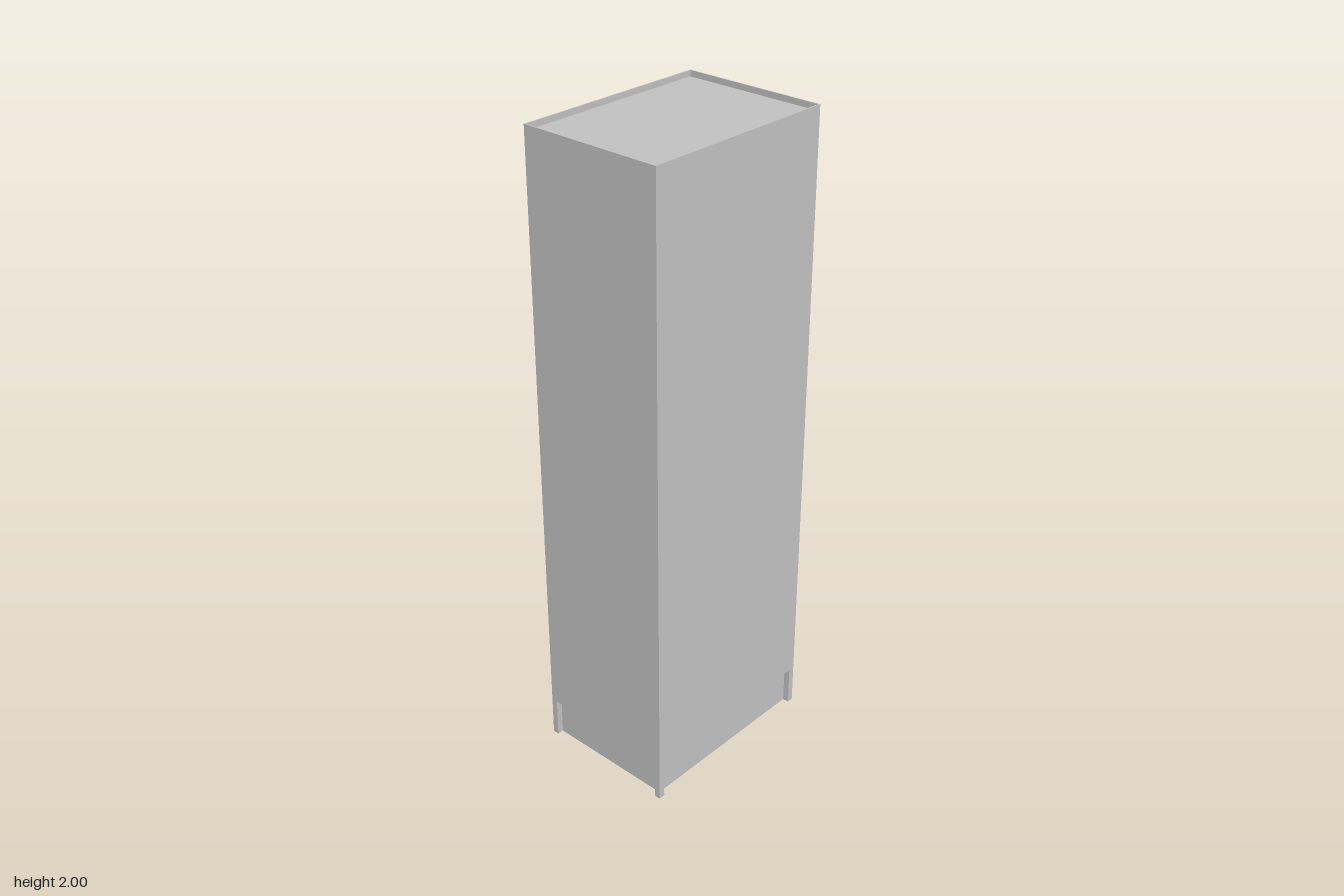
import * as THREE from 'three';

const W = 0.46, D = 0.636, H = 2;      // overall size
const T = 0.004;                       // sheet thickness
const PLINTH = 0.13, INSET = 0.02;     // plinth height and setback

// Rectangular tube standing on y = y0
function tube(w, d, wall, y0, h) {
  const rect = (S, a, b) => {
    const p = new S();
    p.moveTo(-a, -b);
    p.lineTo(a, -b);
    p.lineTo(a, b);
    p.lineTo(-a, b);
    p.closePath();
    return p;
  };
  const shape = rect(THREE.Shape, w / 2, d / 2);
  shape.holes.push(rect(THREE.Path, w / 2 - wall, d / 2 - wall));
  const g = new THREE.ExtrudeGeometry(shape, { depth: h, bevelEnabled: false });
  g.rotateX(-Math.PI / 2);
  g.translate(0, y0, 0);
  return g;
}

export function createModel() {
  const group = new THREE.Group();
  group.name = 'cabinet';
  const grey = new THREE.MeshStandardMaterial({ color: 0xc0c0c0 });
  grey.name = 'lightGrey';

  const add = (name, geometry) => {
    const mesh = new THREE.Mesh(geometry, grey);
    mesh.name = name;
    group.add(mesh);
    return mesh;
  };

  // Tall hollow casing, open underneath
  add('casing', tube(W, D, T, PLINTH, H - PLINTH));

  // Top panel sunk just below the rim
  add('topPanel', new THREE.BoxGeometry(W - 2 * T, T, D - 2 * T)).position.y = H - 0.02;

  // Ledge closing the step between casing and plinth
  add('plinthLedge', tube(W - 2 * T, D - 2 * T, INSET, PLINTH, T));

  // Set-back plinth panels
  add('plinth', tube(W - 2 * INSET, D - 2 * INSET, T, 0, PLINTH));

  // Corner posts flush with the casing
  for (const sx of [-1, 1]) {
    for (const sz of [-1, 1]) {
      const name = (sz > 0 ? 'front' : 'back') + (sx > 0 ? 'Left' : 'Right') + 'Post';
      add(name, new THREE.BoxGeometry(INSET, PLINTH, INSET))
        .position.set(sx * (W - INSET) / 2, PLINTH / 2, sz * (D - INSET) / 2);
    }
  }

  return group;
}
